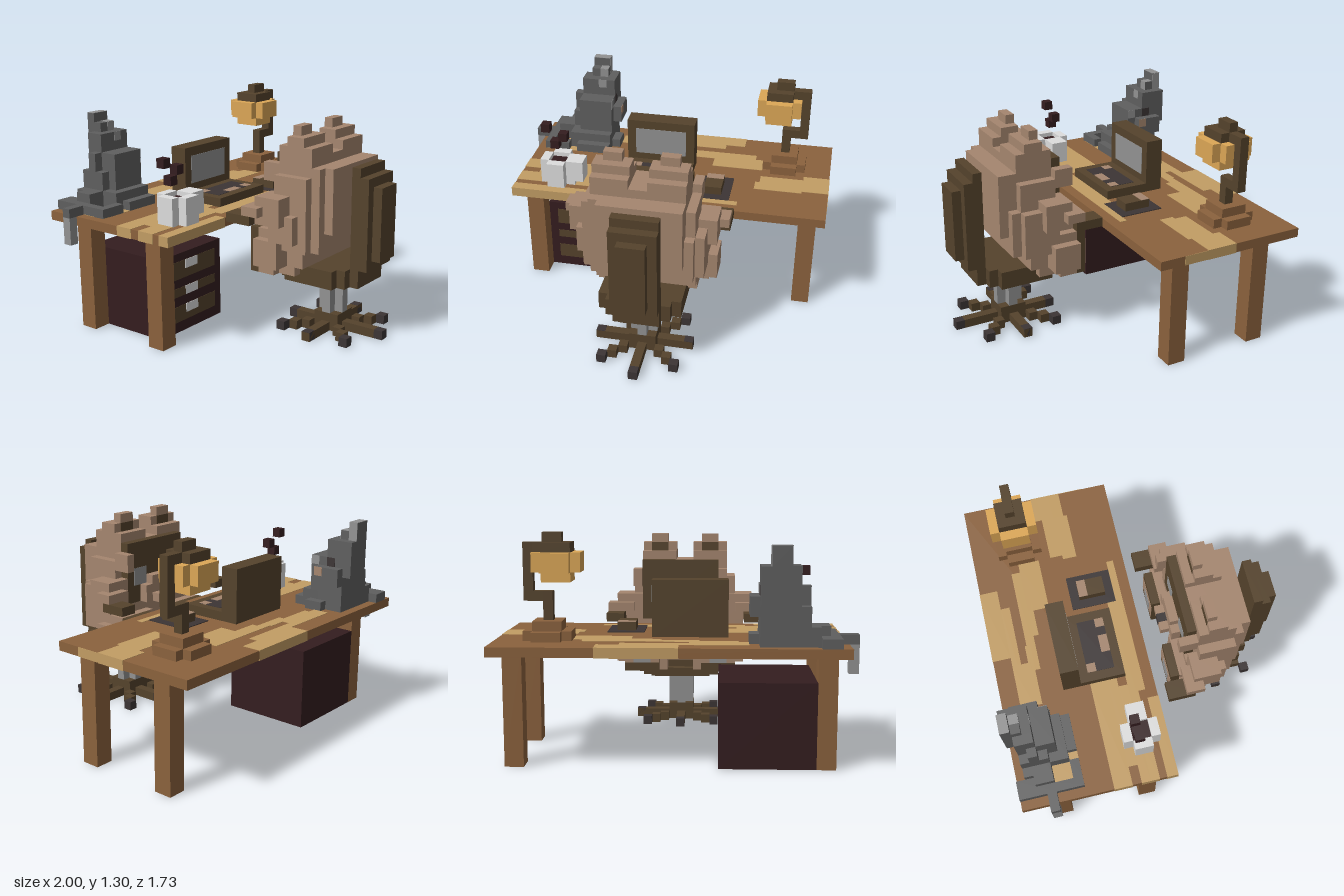
import * as THREE from 'three';
import { mergeGeometries } from 'three/addons/utils/BufferGeometryUtils.js';

const U = 2 / 37; // one block
const E = 0.04;   // thickness of painted plates, in blocks

const mat = (name, color) => {
  const m = new THREE.MeshStandardMaterial({ color });
  m.name = name;
  return m;
};

// Block coordinates: x 0..37, y 0..24, z -16..16, given as [x0,x1,y0,y1,z0,z1]
function block([x0, x1, y0, y1, z0, z1]) {
  const g = new THREE.BoxGeometry((x1 - x0) * U, (y1 - y0) * U, (z1 - z0) * U);
  return g.translate(((x0 + x1) / 2 - 18.5) * U, (y0 + y1) / 2 * U, (z0 + z1) / 2 * U);
}

function part(parent, name, material, boxes) {
  const mesh = new THREE.Mesh(mergeGeometries(boxes.map(block)), material);
  mesh.name = name;
  parent.add(mesh);
}

function group(parent, name) {
  const g = new THREE.Group();
  g.name = name;
  parent.add(g);
  return g;
}

// Add mirrored copies about the plane x = c
const both = (c, boxes) => boxes.concat(boxes.map(([a, b, ...r]) => [2 * c - b, 2 * c - a, ...r]));

export function createModel() {
  const model = new THREE.Group();
  model.name = 'deskScene';
  const wood = mat('wood', 0x8b623d), grain = mat('lightWood', 0xc29d64);
  const brown = mat('darkBrown', 0x55432c), fur = mat('fur', 0xa5866f);
  const maroon = mat('maroon', 0x341d1f), white = mat('paleGrey', 0xdddddd);
  const grey = mat('grey', 0x929292), catGrey = mat('catGrey', 0x5f5f5f);
  const gold = mat('gold', 0xdca756), black = mat('charcoal', 0x3c3535);

  // Desk
  const desk = group(model, 'desk');
  part(desk, 'deskTop', wood, [[1, 37, 12, 13, -16, 1]]);
  const legs = [];
  for (const x of [2, 34]) for (const z of [-13, -3]) legs.push([x, x + 2, 0, 12, z, z + 2]);
  part(desk, 'deskLegs', wood, legs);
  // Wood grain patches [x0,x1,z0,z1], wrapping the slab wherever they reach an edge
  const patches = [
    [18, 26.3, -16, -14], [12, 24, -14, -13], [11, 17, -14, -12.2], [12, 19, -12.2, -11.6],
    [16, 28, -12, -11], [20, 24, -11, -10.4], [23, 29, -11, -8.6], [34, 37, -8, -7.2],
    [29, 37, -7.2, -5.8], [28.5, 34, -5.8, -4.2], [34, 37, -5.8, -4.6], [1, 13, -6, -4],
    [3, 13, -4, -3], [1, 12, -3, -2], [1, 5, -2, -1], [8, 22, -2, -1], [11, 27, -1, -0.2],
    [1, 10, -0.2, 1], [2, 6, -12, -9],
  ];
  part(desk, 'woodGrain', grain, patches.map(([a, b, c, d]) => [
    a === 1 ? a - E : a, b === 37 ? b + E : b, 12 - E, 13 + E,
    c === -16 ? c - E : c, d === 1 ? d + E : d]));
  part(desk, 'edgeGrain', grain, [[37, 37 + E, 12, 13, -4.6, -1.8]]);

  // Drawer cabinet
  const cab = group(model, 'drawerCabinet');
  part(cab, 'cabinetBody', maroon, [[4, 14, 0, 9, -13, -3]]);
  const rows = [[1.2, 3], [4.1, 5.1], [6.1, 8.1]];
  part(cab, 'drawerFronts', brown, rows.map(([a, b]) => [5, 13, a, b, -3, -3 + E]));
  part(cab, 'drawerHandles', white, rows.map(([, b]) => [8, 10, b - 1, b, -3, -3 + 2 * E]));

  // Computer, keyboard, mouse and mat
  const pc = group(model, 'computer');
  part(pc, 'computerCase', brown, [[13, 21, 13, 19, -9, -7], [13, 21, 13, 14, -7, -2]]);
  part(pc, 'screen', grey, [[14, 20, 14.8, 18, -7, -7 + E]]);
  part(pc, 'keys', black, [[14, 20, 14, 14 + E, -6, -3]]);
  part(pc, 'keyMarks', fur, [[14, 15, 14, 14 + 2 * E, -6, -5], [16, 18, 14, 14 + 2 * E, -4, -3],
    [19, 20, 14, 14 + 2 * E, -4, -3]]);
  part(pc, 'mouseMat', black, [[22, 26, 12 - 2 * E, 13 + 2 * E, -6, -1]]);
  part(pc, 'matUnderside', wood, [[23, 25, 12 - 3 * E, 12, -5, -2]]);
  part(pc, 'mouse', brown, [[23, 25, 13, 14, -5, -2]]);
  part(pc, 'mouseButtons', fur, [[23, 25, 14, 14 + E, -5, -4]]);

  // Mug with floating drops
  const mug = group(model, 'mug');
  part(mug, 'mugWall', white, [[5, 7, 13, 16, -4, -3], [5, 7, 13, 16, -1, 0], [4, 5, 13, 16, -3, -1],
    [7, 8, 13, 16, -3, -1], [5, 7, 13, 14, -3, -1], [8, 9, 13.5, 16, -3, -1]]);
  part(mug, 'coffee', maroon, [[5, 7, 14, 15.5, -3, -1]]);
  part(mug, 'drops', maroon, [[5, 6, 17, 18, -3, -2], [6, 7, 18, 19, -3, -2], [4, 5, 19, 20, -3, -2]]);

  // Lamp
  const lamp = group(model, 'lamp');
  part(lamp, 'lampBase', wood, [[29, 34, 13, 14, -12, -9], [30, 33, 13, 14, -13, -8],
    [30, 33, 14, 15, -12, -9]]);
  part(lamp, 'lampStem', brown, [[31, 32, 15, 18, -11, -10], [32, 34, 17, 18, -11, -10],
    [33, 34, 18, 23, -11, -10]]);
  part(lamp, 'lampShade', gold, [[28, 33, 20, 22, -12, -9], [29, 32, 20, 22, -13, -8],
    [29, 32, 19, 20, -12, -9]]);
  part(lamp, 'lampCap', brown, [[29, 32, 22, 23, -12, -9], [32, 33, 22, 23, -11, -10],
    [30, 32, 23, 24, -11, -10]]);

  // Cat, looking along the desk towards the lamp
  const cat = group(model, 'cat');
  part(cat, 'catBody', catGrey, [[2, 4, 13, 14, -16, -12], [2, 3, 13, 14, -12, -9],
    [3, 5, 13, 14, -10, -9], [3, 4, 14, 15, -14, -12], [4, 10, 13, 15, -15, -12],
    [5, 10, 13, 15, -12, -10], [6, 10, 13, 14, -10, -9], [10, 11, 13, 14, -13, -11],
    [5, 10, 15, 17, -15, -12], [6, 10, 15, 17, -12, -11], [6, 11, 16, 18, -15, -12]]);
  part(cat, 'catHead', catGrey, [[7, 10, 17, 20, -16, -15], [6, 10, 17, 20, -15, -13],
    [6, 10, 17, 19, -13, -11], [7, 10, 20, 21, -16, -13], [6, 7, 20, 21, -15, -13],
    [7, 9, 21, 22, -15, -14], [7, 9, 21, 23, -16, -15], [5, 6, 17, 19, -14, -13]]);
  part(cat, 'catEars', grey, [[8, 9, 20, 21, -13, -13 + E], [8, 9, 21, 22, -14, -14 + E],
    [8, 9, 22, 22 + E, -15, -14], [7, 9, 23, 23 + E, -16, -15], [9, 9 + E, 21, 23, -16, -15]]);
  part(cat, 'catEye', black, [[10, 10 + E, 18, 19, -14, -13]]);
  part(cat, 'catCheek', grey, [[10, 10 + E, 18, 19, -12, -11]]);
  part(cat, 'catNose', fur, [[11, 11 + E, 17, 18, -13, -12]]);
  part(cat, 'catTail', catGrey, [[0, 2, 13, 14, -13, -12]]);
  part(cat, 'catTailTip', grey, [[0, 1, 10, 13, -13, -12]]);

  // Swivel chair
  const chair = group(model, 'chair');
  const spokes = [[13, 24, 0, 1, 9, 10], [18, 19, 0, 1, 5, 15], [17, 20, 0, 2, 8, 11]];
  const feet = [[13, 14, 0, 1 + E, 9, 10], [23, 24, 0, 1 + E, 9, 10],
    [18, 19, 0, 1, 4, 5], [18, 19, 0, 1, 15, 16]];
  for (const sx of [-1, 1]) for (const sz of [-1, 1]) for (let i = 2; i <= 4; i++) {
    const x = 18 + sx * i, z = 9 + sz * i;
    (i < 4 ? spokes : feet).push([x, x + 1, 0, 1, z, z + 1]);
  }
  part(chair, 'chairSpokes', brown, spokes);
  part(chair, 'chairFeet', black, feet);
  part(chair, 'chairColumn', grey, [[17, 20, 2, 6, 9, 10], [18, 19, 2, 6, 8, 11]]);
  part(chair, 'chairSeat', brown, [[14, 23, 6, 8, 6, 12], [15, 22, 6, 8, 12, 13],
    [16, 21, 6, 8, 13, 14], [15, 22, 6, 7, 5, 6]]);
  part(chair, 'chairBack', brown, [[16, 21, 8, 19, 13, 14], [16, 21, 8, 18, 14, 15],
    [17, 20, 9, 17, 15, 16]]);

  // Bear, sitting with its face towards the desk
  const bear = group(model, 'bear');
  part(bear, 'bearBody', fur, [[13, 24, 8, 13, 5, 9], [12, 25, 10, 15, 6, 10],
    [13, 24, 10, 15, 10, 11], [14, 23, 12, 15, 11, 12]]);
  part(bear, 'bearHead', fur, [[12, 24, 14, 18, 6, 10], [13, 23, 14, 19, 6, 11],
    [14, 23, 14, 19, 11, 12], [13, 23, 19, 20, 6, 10]]);
  part(bear, 'bearEars', fur, both(18, [[13, 17, 20, 22, 7, 9], [14, 16, 22, 23, 7, 8],
    [13, 17, 19, 21, 6, 10]]));
  part(bear, 'innerEars', brown, both(18, [[14, 16, 21, 22, 7 - E, 7]]));
  part(bear, 'bearFace', brown, [[14, 23, 13, 20, 5, 6]]);
  part(bear, 'bearEyes', grey, both(18.5, [[15, 17, 15, 17, 5 - E, 5]]));
  part(bear, 'bearMuzzle', fur, [[17, 20, 13, 14, 3, 4], [17, 20, 13, 16, 4, 5],
    [16, 21, 13, 15, 4, 5]]);
  part(bear, 'bearCheeks', fur, both(18.5, [[13, 14, 17, 19, 4, 6]]));
  part(bear, 'bearNose', black, [[18, 19, 13, 14 + E, 3 - E, 4]]);
  part(bear, 'bearArms', fur, both(18, [[10, 13, 13, 16, 5, 8], [9, 12, 14, 15, 4, 6],
    [11, 13, 11, 14, 6, 9]]));
  part(bear, 'bearHands', brown, both(18, [[9, 11, 13, 14, 2, 5]]));
  part(bear, 'bearLegs', fur, both(18.5, [[11, 15, 8, 11, 4, 7], [12, 17, 7, 12, 4, 6],
    [13, 16, 7, 10, 5, 8]]));
  part(bear, 'bearSoles', brown, both(18.5, [[12, 16, 7, 12, 3, 4]]));
  part(bear, 'bearFootRims', fur, both(18.5, [[12, 16, 8, 11, 3 - E, 3]]));
  part(bear, 'bearFootPads', grey, both(18.5, [[13, 15, 8, 10, 3 - 2 * E, 3]]));

  return model;
}
